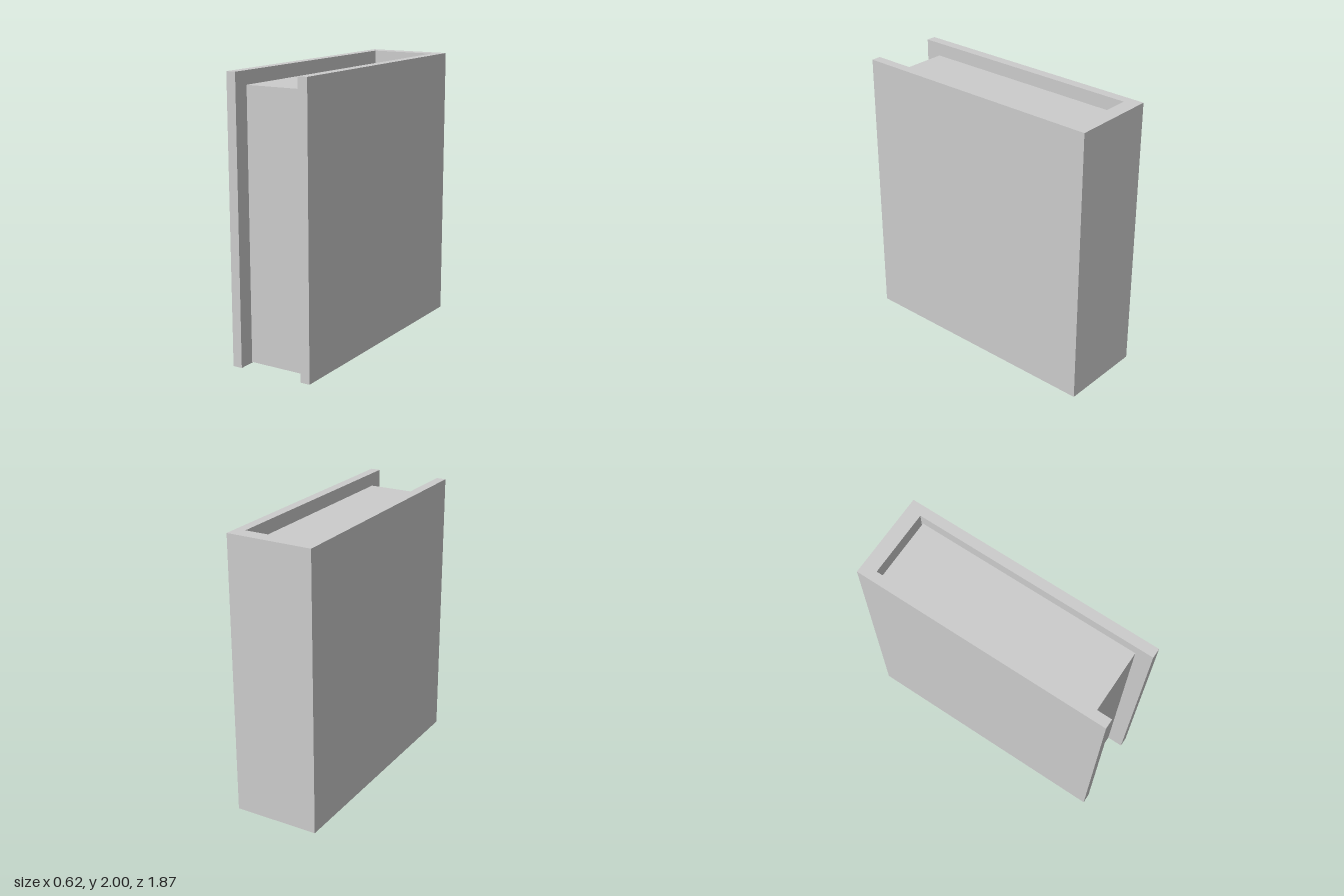
import * as THREE from 'three';

export function createModel() {
  const model = new THREE.Group();
  model.name = 'book';
  const material = new THREE.MeshStandardMaterial({ color: 0xcccccc, flatShading: true });

  const halfWidth = 0.31, halfDepth = 0.935, height = 2;
  const innerHalf = 0.24, spineInner = 0.83;

  // Cover: U-shaped plan (spine at the back, two boards), extruded upwards
  const plan = new THREE.Shape([
    [-halfWidth, -halfDepth], [-innerHalf, -halfDepth],
    [-innerHalf, spineInner], [innerHalf, spineInner],
    [innerHalf, -halfDepth], [halfWidth, -halfDepth],
    [halfWidth, halfDepth], [-halfWidth, halfDepth],
  ].map(([x, y]) => new THREE.Vector2(x, y)));
  const coverGeometry = new THREE.ExtrudeGeometry(plan, { depth: height, bevelEnabled: false });
  coverGeometry.rotateX(-Math.PI / 2);
  const cover = new THREE.Mesh(coverGeometry, material);
  cover.name = 'cover';
  model.add(cover);

  // Page block: recessed at the top and front, with a hairline gap at the spine
  const pageBottom = 0.005, pageTop = 1.905, pageDepth = 1.635;
  const pages = new THREE.Mesh(
    new THREE.BoxGeometry(innerHalf * 2, pageTop - pageBottom, pageDepth), material);
  pages.name = 'pages';
  pages.position.set(0, (pageTop + pageBottom) / 2, 0);
  model.add(pages);

  return model;
}
